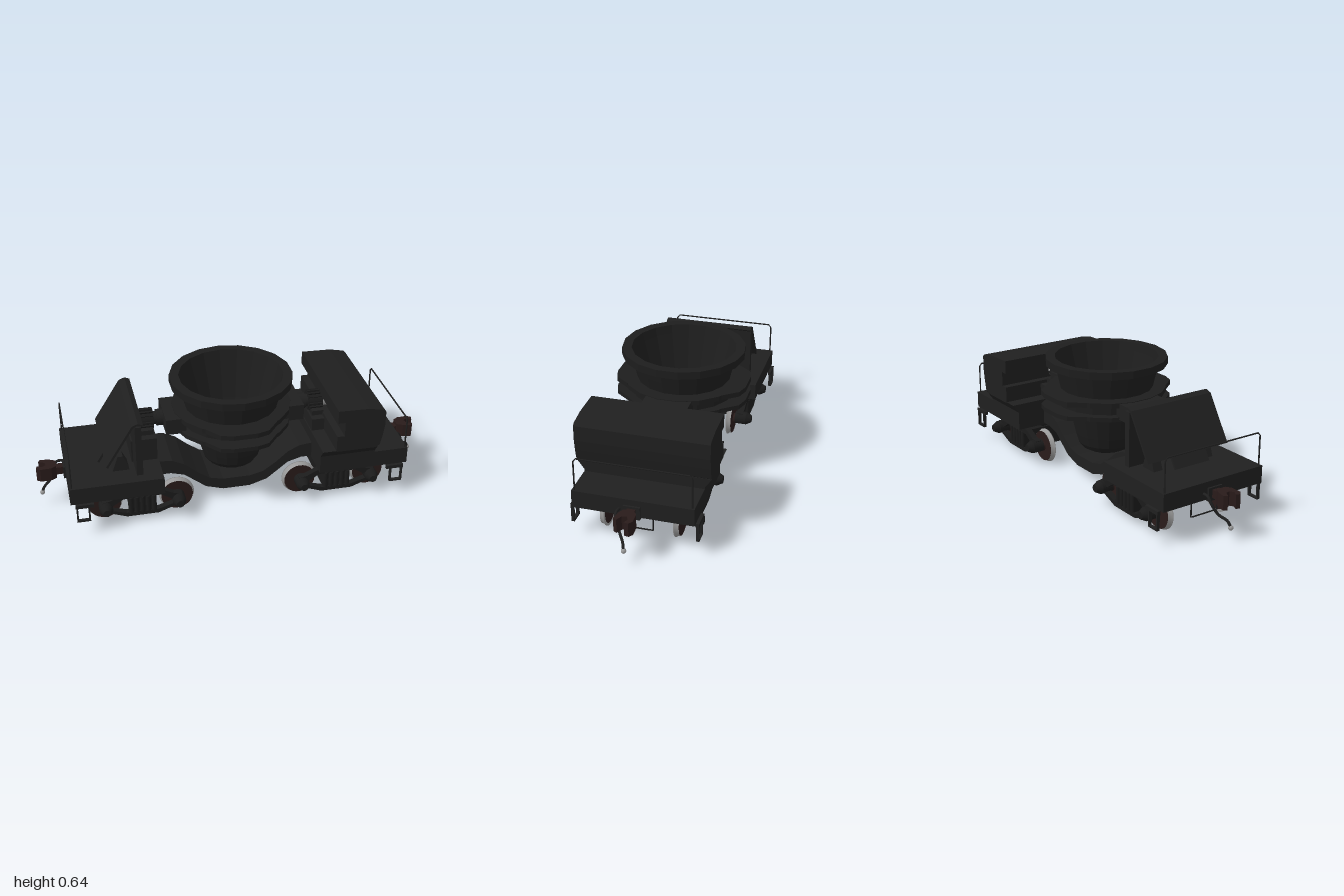
import * as THREE from 'three';

const mat = (name, color) => {
  const m = new THREE.MeshStandardMaterial({ color });
  m.name = name;
  return m;
};

export function createModel() {
  const body = mat('blackPaint', 0x1f1f1f);
  const bowlMat = mat('ladleIron', 0x1d1d1d);
  const gearMat = mat('runningGearBlack', 0x1b1b1b);
  const brown = mat('rustBrown', 0x291b1a);
  const steel = mat('brightSteel', 0x9a9a9a);
  bowlMat.flatShading = true;
  bowlMat.side = THREE.DoubleSide;
  steel.side = THREE.DoubleSide;

  const model = new THREE.Group();
  model.name = 'ladleCar';

  const add = (parent, name, geo, material, x = 0, y = 0, z = 0) => {
    const m = new THREE.Mesh(geo, material);
    m.name = name;
    m.position.set(x, y, z);
    parent.add(m);
    return m;
  };
  // box given by its low and high corners
  const box = (parent, name, material, x0, x1, y0, y1, z0, z1) =>
    add(parent, name, new THREE.BoxGeometry(x1 - x0, y1 - y0, z1 - z0), material,
      (x0 + x1) / 2, (y0 + y1) / 2, (z0 + z1) / 2);
  // side profile in x and y, centred across z
  const prism = (parent, name, material, pts, depth, z = 0) => {
    const shape = new THREE.Shape(pts.map(p => new THREE.Vector2(p[0], p[1])));
    const g = new THREE.ExtrudeGeometry(shape, { depth, bevelEnabled: false });
    return add(parent, name, g, material, 0, 0, z - depth / 2);
  };
  const rod = (parent, name, material, pts, r) => {
    const path = new THREE.CurvePath();
    const v = pts.map(p => new THREE.Vector3(...p));
    for (let i = 1; i < v.length; i++) path.add(new THREE.LineCurve3(v[i - 1], v[i]));
    return add(parent, name, new THREE.TubeGeometry(path, (v.length - 1) * 8, r, 6), material);
  };
  const cylX = (parent, name, material, r, x0, x1, y, n = 16) =>
    add(parent, name, new THREE.CylinderGeometry(r, r, x1 - x0, n).rotateZ(Math.PI / 2), material, (x0 + x1) / 2, y, 0);
  // cylinder along z, r0 at z0 and r1 at z1
  const cylZ = (parent, name, material, r0, r1, x, y, z0, z1, n = 16) =>
    add(parent, name, new THREE.CylinderGeometry(r1, r0, z1 - z0, n).rotateX(Math.PI / 2), material, x, y, (z0 + z1) / 2);
  const lathe = (pts, n) => new THREE.LatheGeometry(pts.map(p => new THREE.Vector2(...p)), n);

  // ladle bowl with outer wall, rim and hollow inside
  const profile = [[0, 0.148], [0.1, 0.15], [0.128, 0.165], [0.145, 0.19], [0.16, 0.24], [0.195, 0.39], [0.235, 0.48],
    [0.25, 0.545], [0.262, 0.598], [0.272, 0.605], [0.309, 0.605], [0.309, 0.643], [0.262, 0.643],
    [0.25, 0.6], [0.19, 0.4], [0.13, 0.23], [0.09, 0.185], [0, 0.18]];
  add(model, 'ladleBowl', lathe(profile, 18), bowlMat);

  // carrying ring: two flanges around a recessed band
  const ring = [[0.19, 0.39], [0.302, 0.39], [0.302, 0.412], [0.26, 0.412], [0.26, 0.46],
    [0.302, 0.46], [0.302, 0.485], [0.23, 0.485]];
  add(model, 'carryingRing', lathe(ring, 18), bowlMat);
  for (const s of [-1, 1]) {
    for (const [y0, y1] of [[0.39, 0.412], [0.46, 0.485]]) {
      const shape = new THREE.Shape([[-0.06, 0.333], [0.06, 0.333], [0.12, 0.315], [0.18, 0.24], [-0.18, 0.24], [-0.12, 0.315]]
        .map(p => new THREE.Vector2(p[0], p[1] * s)));
      const g = new THREE.ExtrudeGeometry(shape, { depth: y1 - y0, bevelEnabled: false }).rotateX(Math.PI / 2);
      add(model, 'ringPad', g, bowlMat, 0, y1, 0);
    }
    // trunnion block, shaft and toothed wheel
    const t = new THREE.Group();
    t.name = 'trunnion';
    t.rotation.y = s > 0 ? 0 : Math.PI;
    model.add(t);
    box(t, 'trunnionBlock', body, 0.25, 0.352, 0.4, 0.482, -0.115, 0.115);
    cylX(t, 'trunnionShaft', body, 0.033, 0.34, 0.478, 0.44);
    cylX(t, 'trunnionCollar', body, 0.042, 0.352, 0.385, 0.44);
    cylX(t, 'toothedWheel', gearMat, 0.045, 0.4, 0.475, 0.44, 20);
    cylX(t, 'trunnionEnd', steel, 0.036, 0.475, 0.505, 0.44);
    for (let i = 0; i < 16; i++) {
      const a = i / 16 * Math.PI * 2;
      const tooth = add(t, 'gearTooth', new THREE.BoxGeometry(0.07, 0.012, 0.009), gearMat,
        0.4375, 0.44 + Math.cos(a) * 0.048, Math.sin(a) * 0.048);
      tooth.rotation.x = a;
    }
    box(t, 'bearingPedestal', body, 0.4, 0.53, 0.26, 0.385, -0.11, 0.11);
    box(t, 'bearingSaddle', body, 0.41, 0.47, 0.38, 0.41, -0.07, 0.07);
  }

  // dropped centre beam
  const half = [[0.52, 0.262], [0.4, 0.264], [0.33, 0.257], [0.27, 0.228], [0.205, 0.172], [0.14, 0.127], [0.07, 0.11]];
  const under = [[0.52, 0.185], [0.34, 0.185], [0.27, 0.165], [0.22, 0.125], [0.16, 0.078], [0.07, 0.05]];
  const flip = a => a.map(p => [-p[0], p[1]]);
  prism(model, 'droppedBeam', body,
    [...flip(under), ...under.slice().reverse(), ...half, ...flip(half).reverse()], 0.27);

  // steel tyre with its flange on the inner side, axis along y
  const tyre = lathe([[0.077, 0.166], [0.09, 0.166], [0.09, 0.171], [0.084, 0.176], [0.081, 0.191]], 28);

  // one end of the car: deck, truck, coupler and fittings
  const buildEnd = () => {
    const e = new THREE.Group();
    e.name = 'carEnd';
    box(e, 'deck', body, 0.395, 0.857, 0.178, 0.265, -0.29, 0.29);

    const truck = new THREE.Group();
    truck.name = 'truck';
    e.add(truck);
    box(truck, 'bolster', gearMat, 0.44, 0.565, 0.04, 0.145, -0.22, 0.22);
    box(truck, 'centrePlate', gearMat, 0.45, 0.555, 0.14, 0.18, -0.12, 0.12);
    for (const s of [-1, 1]) {
      const side = new THREE.Group();
      side.name = 'truckSide';
      side.rotation.y = s > 0 ? 0 : Math.PI;
      side.position.x = 0.5025;
      truck.add(side);
      for (const x of [-0.1825, 0.1825]) {
        add(side, 'tyre', tyre, steel, x, 0.09, 0).rotation.x = Math.PI / 2;
        cylZ(side, 'wheelDisc', brown, 0.0805, 0.0805, x, 0.09, 0.167, 0.191, 28);
        cylZ(side, 'wheelHub', brown, 0.026, 0.026, x, 0.09, 0.16, 0.207, 14);
        cylZ(side, 'journalBox', gearMat, 0.034, 0.034, x, 0.098, 0.203, 0.262);
        cylZ(side, 'journalLid', gearMat, 0.034, 0.019, x, 0.098, 0.262, 0.29);
      }
      // side frame arch with tie bar, spring nest and caps
      prism(side, 'sideFrame', gearMat, [[-0.205, 0.1], [-0.15, 0.105], [-0.095, 0.14], [0.095, 0.14], [0.15, 0.105],
        [0.205, 0.1], [0.2, 0.13], [0.16, 0.138], [0.1, 0.168], [-0.1, 0.168], [-0.16, 0.138], [-0.2, 0.13]], 0.032, 0.229);
      prism(side, 'tieBar', gearMat, [[-0.19, 0.075], [-0.08, 0.034], [0.08, 0.034], [0.19, 0.075],
        [0.19, 0.09], [0.08, 0.056], [-0.08, 0.056], [-0.19, 0.09]], 0.032, 0.229);
      box(side, 'springBacking', gearMat, -0.07, 0.07, 0.05, 0.145, 0.215, 0.24);
      for (let i = 0; i < 5; i++)
        add(side, 'spring', new THREE.CylinderGeometry(0.012, 0.012, 0.09, 8), gearMat, (i - 2) * 0.029, 0.098, 0.24);
    }
    for (const s of [-1, 1]) {
      // hanging step
      const z0 = s * 0.298 - 0.008, z1 = s * 0.298 + 0.008;
      box(e, 'stepBack', body, 0.745, 0.835, 0.16, 0.178, z0, z1);
      for (const x of [0.77, 0.828]) box(e, 'stepLeg', body, x - 0.004, x + 0.004, 0.083, 0.178, z0, z1);
      box(e, 'stepTread', body, 0.766, 0.832, 0.081, 0.09, z0, z1);
    }
    // handrail and brake rod loop
    rod(e, 'handrail', body, [[0.845, 0.26, 0.277], [0.845, 0.42, 0.277], [0.845, 0.43, 0.267],
      [0.845, 0.43, -0.267], [0.845, 0.42, -0.277], [0.845, 0.26, -0.277]], 0.004);
    rod(e, 'brakeRod', gearMat, [[0.79, 0.18, 0.077], [0.79, 0.072, 0.077],
      [0.79, 0.072, -0.077], [0.79, 0.18, -0.077]], 0.004);

    // coupler: pocket, shank and split claw head
    box(e, 'couplerPocket', body, 0.845, 0.867, 0.17, 0.235, -0.04, 0.04);
    box(e, 'couplerShank', brown, 0.86, 0.93, 0.185, 0.225, -0.02, 0.02);
    const head = new THREE.Shape([[0.9, -0.025], [0.925, -0.042], [0.98, -0.045], [1, -0.03], [0.995, -0.008],
      [0.97, -0.02], [0.95, -0.008], [0.955, 0.015], [0.985, 0.03], [0.975, 0.048], [0.93, 0.04], [0.9, 0.025]]
      .map(p => new THREE.Vector2(...p)));
    add(e, 'couplerHead', new THREE.ExtrudeGeometry(head, { depth: 0.07, bevelEnabled: false }).rotateX(Math.PI / 2),
      brown, 0, 0.24, 0);
    // air hose with bright end fitting
    const hose = new THREE.CatmullRomCurve3([[0.85, 0.21, 0.06], [0.89, 0.21, 0.065], [0.91, 0.18, 0.06],
      [0.93, 0.13, 0.035], [0.965, 0.105, 0.01], [0.98, 0.08, 0.003]].map(p => new THREE.Vector3(...p)));
    add(e, 'airHose', new THREE.TubeGeometry(hose, 20, 0.007, 8), body);
    add(e, 'hoseFitting', new THREE.SphereGeometry(0.013, 8, 6), steel, 0.98, 0.075, 0.002);
    return e;
  };
  const right = buildEnd(), left = buildEnd();
  left.rotation.y = Math.PI;
  model.add(right, left);

  // machinery housing, notched for the trunnion end, on a flared base
  const base = new THREE.Shape([[-0.29, 0.262], [0.29, 0.262], [0.29, 0.275], [0.323, 0.32], [-0.323, 0.32], [-0.29, 0.275]]
    .map(p => new THREE.Vector2(...p)));
  add(model, 'housingBase', new THREE.ExtrudeGeometry(base, { depth: 0.285, bevelEnabled: false }).rotateY(Math.PI / 2), body, 0.395, 0, 0);
  prism(model, 'machineryHousing', body, [[0.465, 0.315], [0.67, 0.315], [0.69, 0.33], [0.702, 0.385],
    [0.71, 0.44], [0.71, 0.515], [0.7, 0.527], [0.62, 0.543], [0.465, 0.547],
    [0.465, 0.478], [0.503, 0.478], [0.503, 0.402], [0.465, 0.402]], 0.646);

  // sloped heat shield with narrow foot, posts and foot brackets
  prism(model, 'heatShield', body, [[-0.66, 0.326], [-0.53, 0.532], [-0.51, 0.545], [-0.485, 0.538],
    [-0.48, 0.546], [-0.505, 0.556], [-0.535, 0.545], [-0.67, 0.331]], 0.47);
  prism(model, 'shieldFoot', body, [[-0.69, 0.278], [-0.655, 0.334], [-0.665, 0.339], [-0.7, 0.283]], 0.2);
  box(model, 'shieldPost', body, -0.522, -0.49, 0.26, 0.535, -0.235, 0.235);
  for (const s of [-1, 1])
    prism(model, 'footBracket', body, [[-0.635, 0.262], [-0.55, 0.262], [-0.558, 0.3], [-0.58, 0.345],
      [-0.605, 0.345], [-0.625, 0.29]], 0.05, s * 0.15);

  return model;
}
